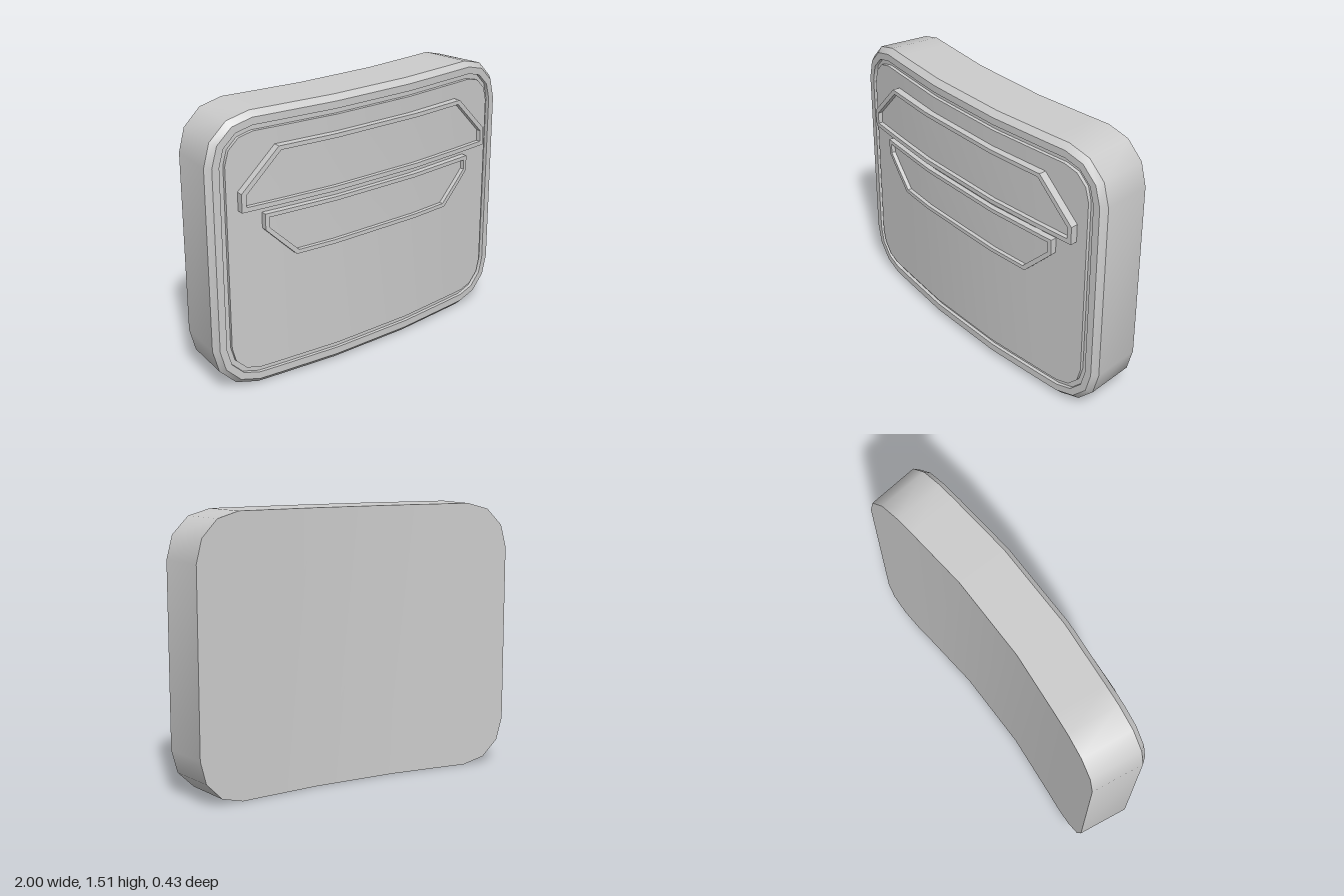
import * as THREE from 'three';
import { toCreasedNormals } from 'three/addons/utils/BufferGeometryUtils.js';

// How far the curved plate falls back at each |x|: [x, drop]
const BODY_CURVE = [[0, 0], [0.25, 0], [0.62, 0.034], [1, 0.074]];
const FRAME_CURVE = [[0, 0], [0.28, 0], [0.62, 0.028], [1, 0.067]];
const MID_Y = 0.757;

function drop(x, curve) {
  const a = Math.abs(x);
  for (let i = 1; i < curve.length; i++) {
    const [x0, d0] = curve[i - 1], [x1, d1] = curve[i];
    if (a <= x1) return d0 + (d1 - d0) * (a - x0) / (x1 - x0);
  }
  return curve[curve.length - 1][1];
}

// Wraps the flat layout around the vertical axis: back narrower, sides set back
function bend([x, y, z], curve) {
  return [x * (1 + 0.14 * (z - 0.147)), y, z - drop(x, curve)];
}

// An outline is a list of columns [x, top, bottom] for the right half
const mirrorColumns = (cols) =>
  [...cols.map(([x, t, b]) => [-x, t, b]).reverse(), ...cols];

// Rounded rectangle with three-sided corners, shrunk by an inset
function roundedOutline(inset) {
  const cols = [0.25, 0.62].map((x) => [x, 2 * MID_Y - inset, inset]);
  for (let i = 0; i <= 3; i++) {
    const a = i * Math.PI / 6;
    const h = 0.502 + (0.255 - inset) * Math.cos(a);
    cols.push([0.74 + (0.26 - inset) * Math.sin(a), MID_Y + h, MID_Y - h]);
  }
  return cols;
}

// Joins outlines at their depths [outline, z], back to front, with optional caps
function layered(sections, curve, { back = false, front = false } = {}) {
  const pos = [];
  const quad = (a, b, c, d) => {
    for (const p of [a, b, c, a, c, d]) pos.push(...bend(p, curve));
  };
  const rows = sections.map(([outline, z]) => {
    const cols = mirrorColumns(outline);
    const top = cols.map(([x, t]) => [x, t, z]);
    const bottom = cols.map(([x, , b]) => [x, b, z]);
    return { top, bottom, loop: [...top, ...[...bottom].reverse()] };
  });
  for (let s = 1; s < rows.length; s++) {
    const a = rows[s - 1].loop, b = rows[s].loop;
    for (let i = 0; i < a.length; i++) {
      const j = (i + 1) % a.length;
      quad(a[i], b[i], b[j], a[j]);
    }
  }
  const cap = ({ top, bottom }, flip) => {
    for (let i = 1; i < top.length; i++) {
      if (flip) quad(top[i - 1], top[i], bottom[i], bottom[i - 1]);
      else quad(top[i - 1], bottom[i - 1], bottom[i], top[i]);
    }
  };
  if (back) cap(rows[0], true);
  if (front) cap(rows[rows.length - 1], false);
  const geometry = new THREE.BufferGeometry();
  geometry.setAttribute('position', new THREE.Float32BufferAttribute(pos, 3));
  return toCreasedNormals(geometry, 0.65);
}

export function createModel() {
  const group = new THREE.Group();
  const material = new THREE.MeshStandardMaterial({ color: 0xcccccc });
  const add = (name, geometry) => {
    const mesh = new THREE.Mesh(geometry, material);
    mesh.name = name;
    group.add(mesh);
  };

  // Curved body with bevelled rim and the groove floor inside it
  const body = [[0, -0.14], [0, 0.147], [0.03, 0.177], [0.07, 0.177], [0.07, 0.157], [0.1, 0.157]];
  add('body', layered(body.map(([i, z]) => [roundedOutline(i), z]), BODY_CURVE, { back: true }));

  // Panel standing up from the groove
  const panel = roundedOutline(0.1);
  add('frontPanel', layered([[panel, 0.157], [panel, 0.177]], BODY_CURVE, { front: true }));

  // Raised frames with a recessed plate inside
  const addFrame = (name, outer, inner, rimZ, plateZ) => add(name, layered(
    [[outer, 0.16], [outer, rimZ], [inner, rimZ], [inner, plateZ]], FRAME_CURVE, { front: true }));

  addFrame('upperFrame',
    [[0.28, 1.325, 1.013], [0.62, 1.325, 1.013], [0.837, 1.113, 1.013]],
    [[0.28, 1.302, 1.038], [0.607, 1.302, 1.038], [0.81, 1.102, 1.038]],
    0.213, 0.188);
  addFrame('lowerFrame',
    [[0.28, 0.977, 0.713], [0.522, 0.977, 0.713], [0.62, 0.977, 0.808], [0.703, 0.977, 0.89]],
    [[0.28, 0.955, 0.735], [0.508, 0.955, 0.735], [0.62, 0.955, 0.842], [0.68, 0.955, 0.9]],
    0.206, 0.183);

  return group;
}
